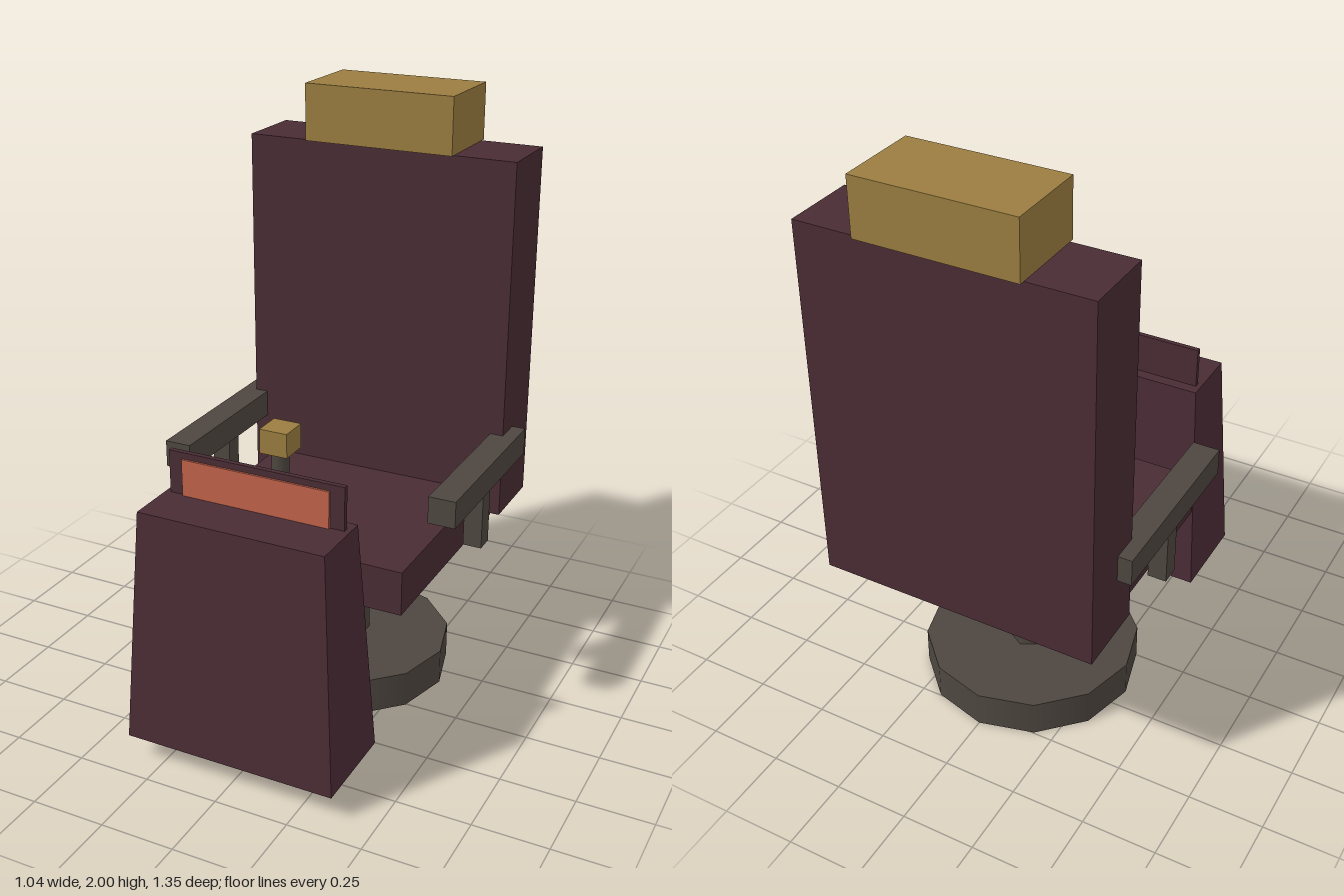
import * as THREE from 'three';

const material = (name, color) => {
  const m = new THREE.MeshStandardMaterial({ color });
  m.name = name;
  return m;
};

export function createModel() {
  const group = new THREE.Group();
  const maroon = material('maroon', 0x4a2c35);
  const grey = material('warm grey', 0x4e4740);
  const gold = material('gold', 0x9a7d40);
  const orange = material('screen orange', 0xc0634a);

  const add = (name, geometry, mat) => {
    const mesh = new THREE.Mesh(geometry, mat);
    mesh.name = name;
    group.add(mesh);
    return mesh;
  };
  // Box given by its extents along each axis
  const box = (name, mat, [x0, x1], [y0, y1], [z0, z1]) => {
    const mesh = add(name, new THREE.BoxGeometry(x1 - x0, y1 - y0, z1 - z0), mat);
    mesh.position.set((x0 + x1) / 2, (y0 + y1) / 2, (z0 + z1) / 2);
    return mesh;
  };
  // Upright prism standing between two heights
  const column = (name, mat, radius, sides, [y0, y1], z) => {
    const mesh = add(name, new THREE.CylinderGeometry(radius, radius, y1 - y0, sides), mat);
    mesh.position.set(0, (y0 + y1) / 2, z);
  };

  // Pedestal
  column('base', grey, 0.366, 12, [0, 0.125], -0.18);
  column('post', grey, 0.085, 6, [0.125, 0.5], -0.18);

  // Chair
  box('seat', maroon, [-0.395, 0.395], [0.5, 0.652], [-0.545, 0.245]);
  box('backrest', maroon, [-0.475, 0.475], [0.577, 1.81], [-0.657, -0.407]);
  box('headrest', gold, [-0.262, 0.262], [1.81, 2], [-0.675, -0.392]);

  // Armrests, mirrored
  for (const [side, s] of [['left', 1], ['right', -1]]) {
    const across = (a, b) => (s > 0 ? [a, b] : [-b, -a]);
    box(side + 'Armrest', grey, across(0.43, 0.522), [0.783, 0.875], [-0.5, 0.135]);
    box(side + 'ArmSupport', grey, across(0.444, 0.508), [0.577, 0.783], [-0.213, -0.149]);
  }

  // Control lever
  column('leverRod', grey, 0.028, 6, [0.718, 1.01], 0.295);
  box('leverKnob', gold, [-0.047, 0.047], [1.01, 1.09], [0.247, 0.342]);

  // Console: a box narrowed towards the top
  const consoleGeometry = new THREE.BoxGeometry(0.726, 0.792, 0.316);
  const p = consoleGeometry.attributes.position;
  for (let i = 0; i < p.count; i++) {
    if (p.getY(i) > 0) {
      p.setX(i, Math.sign(p.getX(i)) * 0.317);
      p.setZ(i, Math.sign(p.getZ(i)) * 0.111);
    }
  }
  consoleGeometry.computeVertexNormals();
  add('console', consoleGeometry, maroon).position.set(0, 0.479, 0.515);

  // Display
  box('displayPanel', maroon, [-0.3, 0.3], [0.86, 1.018], [0.443, 0.46]);
  box('displayScreen', orange, [-0.252, 0.252], [0.86, 0.997], [0.461, 0.468]);

  return group;
}
